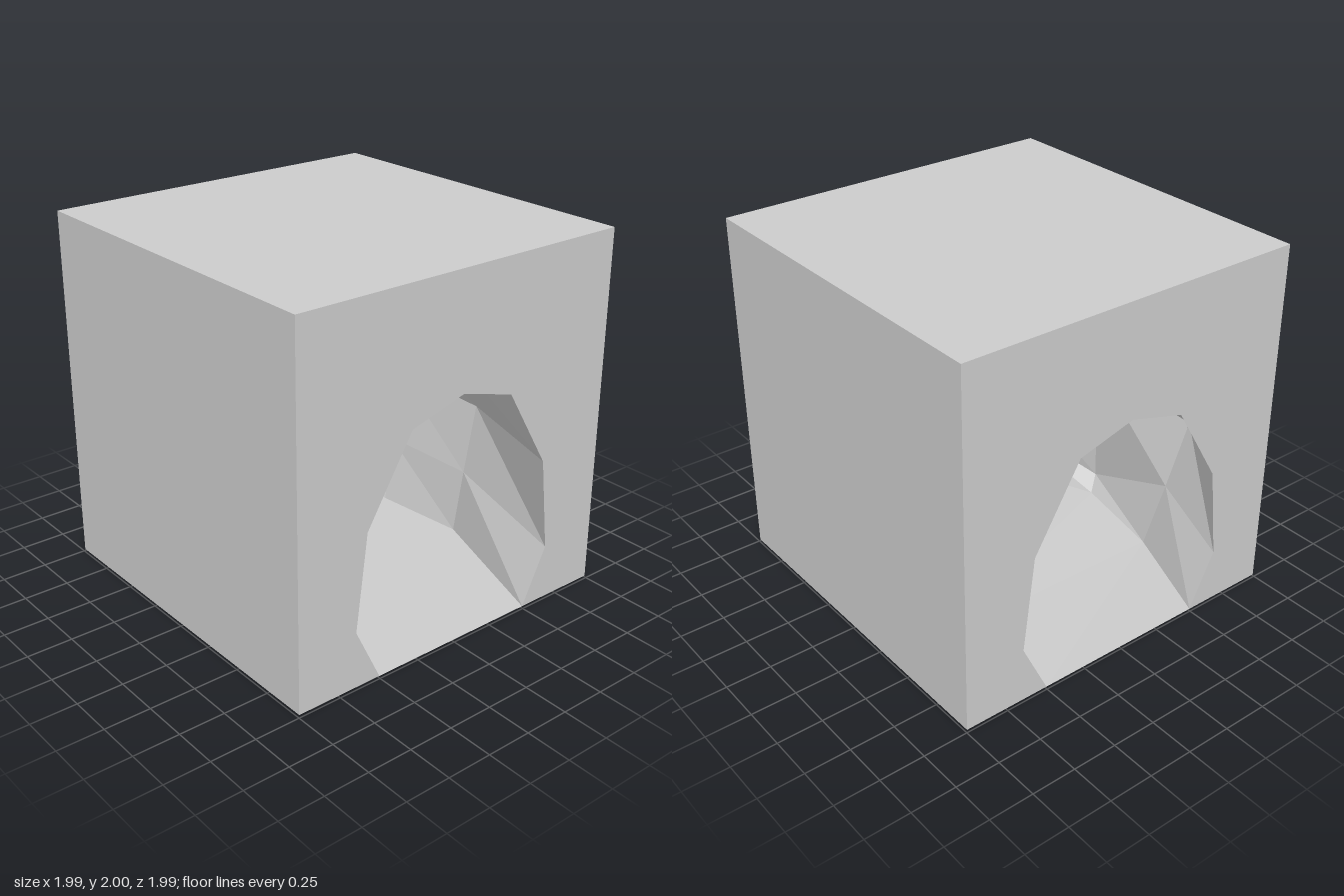
import * as THREE from 'three';

const H = 0.995;     // half width of the block
const BASE = 0.012;  // underside height
const FLOOR = 0.016; // cave floor height
const TOP = 2;

export function createModel() {
  const group = new THREE.Group();
  const material = new THREE.MeshStandardMaterial({ color: 0xcccccc, flatShading: true });
  const caveMaterial = material.clone();
  caveMaterial.side = THREE.DoubleSide;

  function add(name, geometry, mat = material) {
    const mesh = new THREE.Mesh(geometry, mat);
    mesh.name = name;
    group.add(mesh);
    return mesh;
  }

  // Opening outline, from the -x foot over the crown to the +x foot
  const half = [[0.5, BASE], [0.65, 0.32], [0.587, 0.84], [0.322, 1.285]];
  const arch = [...half.map(([x, y]) => [-x, y]), [0, 1.375], ...half.slice().reverse()];

  // Front and back walls with the arched opening
  const outline = [[-H, BASE], ...arch, [H, BASE], [H, TOP], [-H, TOP]];
  const wall = new THREE.ShapeGeometry(new THREE.Shape(outline.map(([x, y]) => new THREE.Vector2(x, y))));
  add('frontWall', wall).position.z = H;
  const back = add('backWall', wall);
  back.position.z = -H;
  back.rotation.y = Math.PI;

  // Plain side walls
  const side = new THREE.PlaneGeometry(2 * H, TOP - BASE);
  for (const s of [-1, 1]) {
    const mesh = add(s > 0 ? 'leftWall' : 'rightWall', side);
    mesh.position.set(s * H, (TOP + BASE) / 2, 0);
    mesh.rotation.y = s * Math.PI / 2;
  }

  // Roof and underside
  const slab = new THREE.PlaneGeometry(2 * H, 2 * H);
  const roof = add('roof', slab);
  roof.position.y = TOP;
  roof.rotation.x = -Math.PI / 2;
  const under = add('underside', slab);
  under.position.y = BASE;
  under.rotation.x = Math.PI / 2;

  // Cave cross-sections from front to back, wider in the middle
  const rings = [
    arch.map(([x, y]) => [x, y, H]),
    [[-0.83, FLOOR, 0.175], [-0.9, 0.1, 0.22], [-0.86, 0.86, 0.2], [-0.43, 1.42, 0.27], [0, 1.5, 0.25],
      [0.43, 1.42, 0.27], [0.91, 0.78, 0.19], [0.84, 0.38, 0.18], [0.79, FLOOR, 0.165]],
    [[-0.74, 0, -0.38], [-0.83, 0.38, -0.44], [-0.92, 0.79, -0.5], [-0.5, 1.5, -0.45], [0, 1.58, -0.42],
      [0.5, 1.5, -0.45], [0.92, 0.79, -0.5], [0.83, 0.38, -0.44], [0.74, FLOOR, -0.38]],
    arch.map(([x, y]) => [x, y, -H]),
  ];

  // Faceted cave lining; each ring closes across the floor
  const points = [];
  const n = arch.length;
  for (let i = 0; i < rings.length - 1; i++) {
    for (let j = 0; j < n; j++) {
      const k = (j + 1) % n;
      const a = rings[i][j], b = rings[i][k], c = rings[i + 1][j], d = rings[i + 1][k];
      points.push(...a, ...c, ...b, ...b, ...c, ...d);
    }
  }
  const cave = new THREE.BufferGeometry();
  cave.setAttribute('position', new THREE.Float32BufferAttribute(points, 3));
  cave.computeVertexNormals();
  add('caveLining', cave, caveMaterial);

  return group;
}
